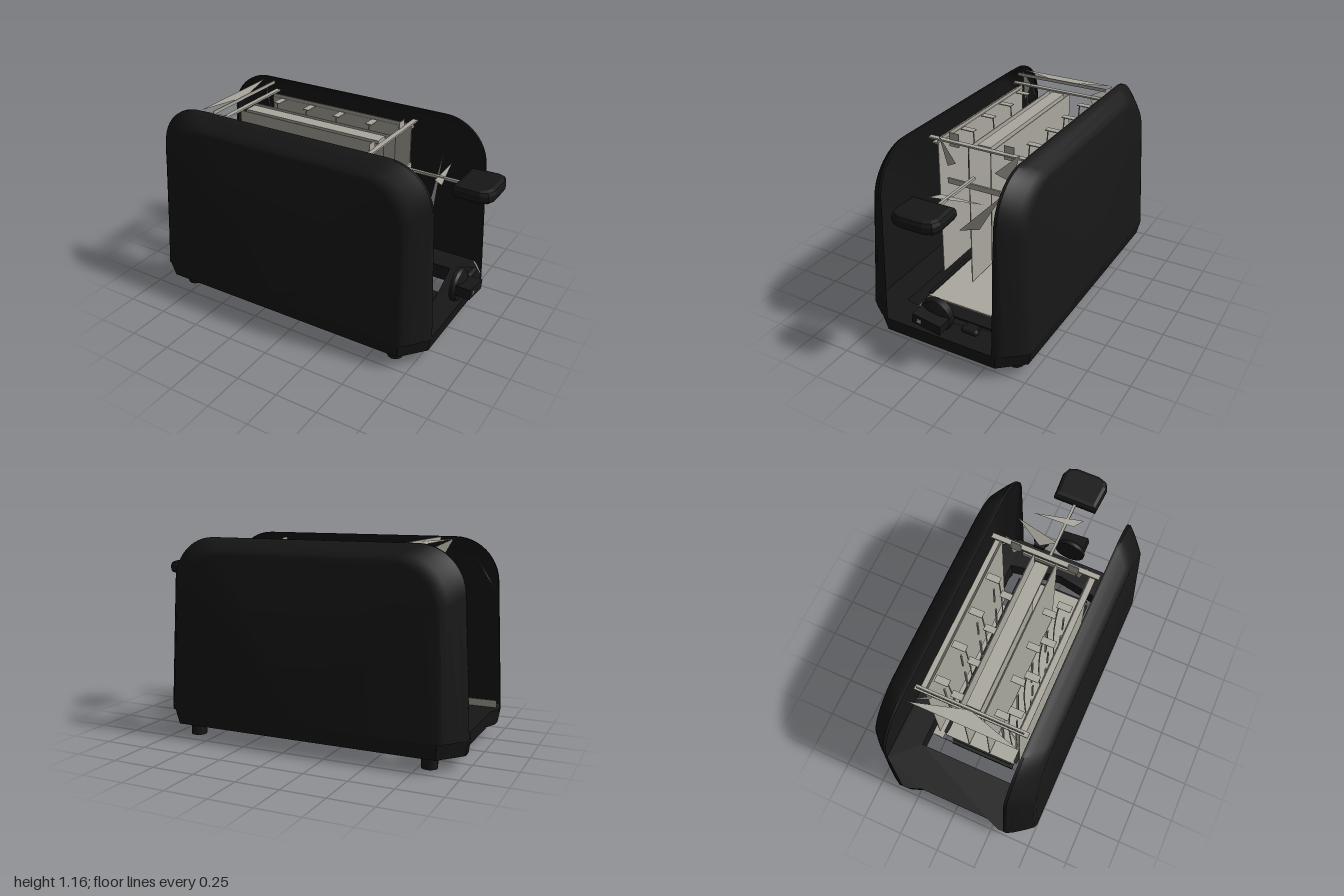
import * as THREE from 'three';
import { toCreasedNormals } from 'three/addons/utils/BufferGeometryUtils.js';

const black = new THREE.MeshStandardMaterial({ color: 0x171717, side: THREE.DoubleSide });
black.name = 'black plastic';
const steel = new THREE.MeshStandardMaterial({ color: 0xaaa89e, side: THREE.DoubleSide });
steel.name = 'warm grey steel';

export function createModel() {
  const root = new THREE.Group();
  root.name = 'toaster';
  const add = (name, geo, mat, x = 0, y = 0, z = 0, parent = root) => {
    const m = new THREE.Mesh(geo, mat);
    m.name = name;
    m.position.set(x, y, z);
    parent.add(m);
    return m;
  };
  // box given by its limits on each axis
  const box = (name, mat, [x0, x1], [y0, y1], [z0, z1], parent) =>
    add(name, new THREE.BoxGeometry(x1 - x0, y1 - y0, z1 - z0), mat,
      (x0 + x1) / 2, (y0 + y1) / 2, (z0 + z1) / 2, parent);
  const points = list => list.map(p => new THREE.Vector2(...p));

  // side shells: arched outline stepped outwards in rings, closed by a flat face
  const shellGeo = sideShell();
  for (const s of [1, -1]) add(s > 0 ? 'frontShell' : 'backShell', shellGeo, black).scale.z = s;

  // base frame with chamfered corners, narrowing slightly to the bottom
  const plan = new THREE.Shape(points([[0.82, 0.36], [0.7, 0.505], [-0.88, 0.505], [-1, 0.36],
    [-1, 0.3], [-0.97, 0.22], [-0.97, -0.22], [-1, -0.3],
    [-1, -0.36], [-0.88, -0.505], [0.7, -0.505], [0.82, -0.36]]));
  plan.holes.push(new THREE.Path(points([[0.62, 0.34], [0.68, 0], [0.62, -0.34], [-0.72, -0.34], [-0.72, 0.34]])));
  const baseGeo = new THREE.ExtrudeGeometry(plan, { depth: 0.088, bevelEnabled: false });
  baseGeo.rotateX(-Math.PI / 2);
  const bp = baseGeo.attributes.position;
  for (let i = 0; i < bp.count; i++) {
    if (bp.getY(i) < 0.04) bp.setXYZ(i, (bp.getX(i) + 0.09) * 0.985 - 0.09, 0, bp.getZ(i) * 0.965);
  }
  baseGeo.computeVertexNormals();
  add('baseFrame', baseGeo, black, 0, 0.078, 0);

  // crumb tray, its lips and bright patches, and the floor above
  box('crumbTray', black, [-0.6, 0.54], [0.08, 0.09], [-0.2, 0.2]);
  box('trayPatch', steel, [-0.5, -0.22], [0.074, 0.079], [-0.16, 0.06]);
  box('trayPatch', steel, [0, 0.25], [0.074, 0.079], [-0.2, -0.1]);
  box('trayLip', black, [0.42, 0.62], [0.06, 0.08], [-0.19, 0.22]);
  box('trayStop', black, [-0.62, -0.58], [0.06, 0.08], [-0.19, 0.22]);
  box('reflectorFloor', steel, [-0.61, 0.56], [0.19, 0.2], [-0.23, 0.23]);
  for (const s of [1, -1]) {
    box('floorRail', steel, [-0.62, 0.36], [0.1, 0.11], [s * 0.288 - 0.036, s * 0.288 + 0.036]);
  }

  // feet
  for (const x of [-0.805, 0.625]) for (const z of [-0.38, 0.38]) {
    add('foot', new THREE.CylinderGeometry(0.045, 0.045, 0.085, 20), black, x, 0.0425, z);
  }

  // toasting cage
  const cage = new THREE.Group();
  cage.name = 'cage';
  root.add(cage);
  for (const s of [1, -1]) {
    const zs = (a, b) => [Math.min(s * a, s * b), Math.max(s * a, s * b)];
    box('outerReflector', steel, [-0.61, 0.35], [0.23, 1.09], zs(0.263, 0.268), cage);
    box('innerReflector', steel, [-0.61, 0.35], [0.22, 1.09], zs(0.066, 0.071), cage);
    box('topRail', steel, [-0.61, 0.35], [1.06, 1.07], zs(0.26, 0.3), cage);
    box('sideStrip', black, [-0.6, 0.54], [0.2, 0.206], zs(0.222, 0.245), cage);
    for (const x of [-0.52, -0.31, -0.1, 0.12]) {
      box('guideTab', steel, [x - 0.02, x + 0.02], [1.07, 1.075], zs(0.17, 0.25), cage);
      box('guideWireLower', steel, [x - 0.005, x + 0.005], [0.25, 0.63], zs(0.205, 0.215), cage);
      box('guideWireUpper', steel, [x - 0.005, x + 0.005], [0.74, 0.92], zs(0.21, 0.218), cage);
      box('innerTab', steel, [x - 0.02, x + 0.02], [0.9, 0.905], zs(0.09, 0.17), cage);
      box('innerWire', steel, [x - 0.005, x + 0.005], [0.25, 0.63], zs(0.118, 0.13), cage);
      // bowed bread guard
      const bow = new THREE.QuadraticBezierCurve3(new THREE.Vector3(x, 0.28, s * 0.18),
        new THREE.Vector3(x, 0.7, s * 0.15), new THREE.Vector3(x, 1.07, s * 0.18));
      add('breadGuard', new THREE.TubeGeometry(bow, 8, 0.004, 5), steel, 0, 0, 0, cage);
    }
    box('endTab', steel, [0.33, 0.335], [1.06, 1.14], zs(0.14, 0.2), cage);
  }
  box('centreChannel', steel, [-0.59, 0.3], [1.065, 1.09], [-0.04, 0.04], cage);
  for (const x of [-0.61, 0.345]) box('crossBar', steel, [x - 0.015, x + 0.015], [1.09, 1.1], [-0.32, 0.32], cage);
  box('endBand', steel, [-0.625, -0.62], [1.14, 1.16], [-0.3, 0.3], cage);

  // thin bent plates between the shells
  const plate = (name, ...pts) => {
    const g = new THREE.BufferGeometry().setFromPoints(pts.map(p => new THREE.Vector3(...p)));
    g.computeVertexNormals();
    add(name, g, steel);
  };
  plate('topLip', [-0.71, 1.15, -0.31], [-0.71, 1.15, 0.31], [-0.62, 1.15, 0]);
  for (const s of [1, -1]) {
    plate('lipCorner', [-0.7, 1.15, s * 0.31], [-0.61, 1.1, s * 0.2], [-0.62, 0.98, s * 0.25]);
    plate('endGusset', [0.36, 1.12, s * 0.25], [0.36, 0.95, s * 0.2], [0.4, 1.0, s * 0.12]);
    plate('floorGusset', [-0.64, 0.2, s * 0.3], [-0.64, 0.2, s * 0.03], [-0.64, 0.24, s * 0.17]);
  }
  plate('slotGusset', [0.56, 0.98, -0.26], [0.56, 0.74, -0.12], [0.62, 0.74, -0.03]);
  plate('sideGusset', [0.64, 0.95, -0.2], [0.65, 0.95, 0.05], [0.71, 0.95, 0.09]);
  plate('rimSliver', [-0.82, 1.07, 0.331], [-0.955, 0.86, 0.331], [-0.9, 0.93, 0.331]);
  box('shellFootStrip', steel, [-0.98, -0.62], [0.167, 0.21], [0.329, 0.333]);

  // carriage and lever with a bevelled grip
  box('carriageBar', steel, [0.4, 0.41], [0.875, 0.907], [-0.16, 0.17]);
  box('leverStem', steel, [0.41, 0.8], [0.94, 0.955], [-0.008, 0.008]);
  const grip = new THREE.Shape(points([[0.81, -0.105], [0.935, -0.112], [0.962, -0.1], [0.975, -0.065],
    [0.975, 0.065], [0.962, 0.1], [0.935, 0.112], [0.81, 0.105]]));
  const gripGeo = new THREE.ExtrudeGeometry(grip, {
    depth: 0.024, bevelThickness: 0.026, bevelSize: 0.026, bevelSegments: 2,
  });
  gripGeo.rotateX(-Math.PI / 2);
  add('leverGrip', gripGeo, black, 0, 0.943, 0);

  // browning dial with a tilted finger ridge and marker
  const dial = new THREE.Group();
  dial.name = 'dial';
  dial.position.set(0.8, 0.315, 0);
  dial.rotation.x = -0.15;
  root.add(dial);
  const dialGeo = new THREE.LatheGeometry(points([[0, 0], [0.1, 0], [0.1, 0.02], [0.09, 0.035],
    [0.05, 0.05], [0, 0.055]]), 32);
  dialGeo.rotateZ(-Math.PI / 2);
  add('dialDisc', toCreasedNormals(dialGeo, 0.5), black, 0, 0, 0, dial);
  box('dialRidge', black, [0.03, 0.12], [-0.028, 0.03], [-0.088, 0.088], dial);
  box('dialMarker', steel, [0.12, 0.124], [-0.01, 0.01], [0.032, 0.055], dial);

  // cancel button with rounded ends
  const button = add('cancelButton', new THREE.CapsuleGeometry(0.02, 0.065, 4, 12), black, 0.81, 0.275, -0.2025);
  button.rotation.x = Math.PI / 2;
  box('buttonStem', black, [0.765, 0.82], [0.26, 0.29], [-0.24, -0.165]);
  return root;
}

// Hollow arched shell on the +z side
function sideShell() {
  const cx = -0.09, y0 = 0.165, arc = 12;
  // each ring: inset from the outline, and share of the depth
  const rings = [[0, 0], [0, 0.13], [0.025, 0.38], [0.07, 0.74], [0.1, 0.95], [0.125, 1]];
  const pos = [], idx = [];
  const depth = y => 0.505 - 0.05 * (y - y0) / 0.91;
  for (const [d, t] of rings) {
    const top = 1.162 - d * 0.72, r = 0.25;
    const half = y => 0.91 - d - 0.036 * (y - y0) / 0.75;
    const pts = [[half(y0), y0]];
    for (let i = 0; i <= arc; i++) {
      const a = i / arc * Math.PI / 2, y = top - r + r * Math.sin(a);
      pts.push([half(y) - r + r * Math.cos(a), y]);
    }
    const all = [...pts, ...pts.map(([x, y]) => [-x, y]).reverse()];
    for (const [x, y] of all) pos.push(cx + x, y, 0.335 + t * (depth(y) - 0.335));
  }
  const n = 2 * (arc + 2), last = (rings.length - 1) * n;
  for (let k = 0; k < rings.length - 1; k++) for (let i = 0; i < n - 1; i++) {
    const a = k * n + i, b = a + n;
    idx.push(a, a + 1, b, a + 1, b + 1, b);
  }
  // flat outer face as a fan from the middle of its lower edge
  pos.push(cx, y0, depth(y0));
  for (let i = 0; i < n - 1; i++) idx.push(last + n, last + i, last + i + 1);
  const g = new THREE.BufferGeometry();
  g.setAttribute('position', new THREE.Float32BufferAttribute(pos, 3));
  g.setIndex(idx);
  return toCreasedNormals(g, 0.6);
}
